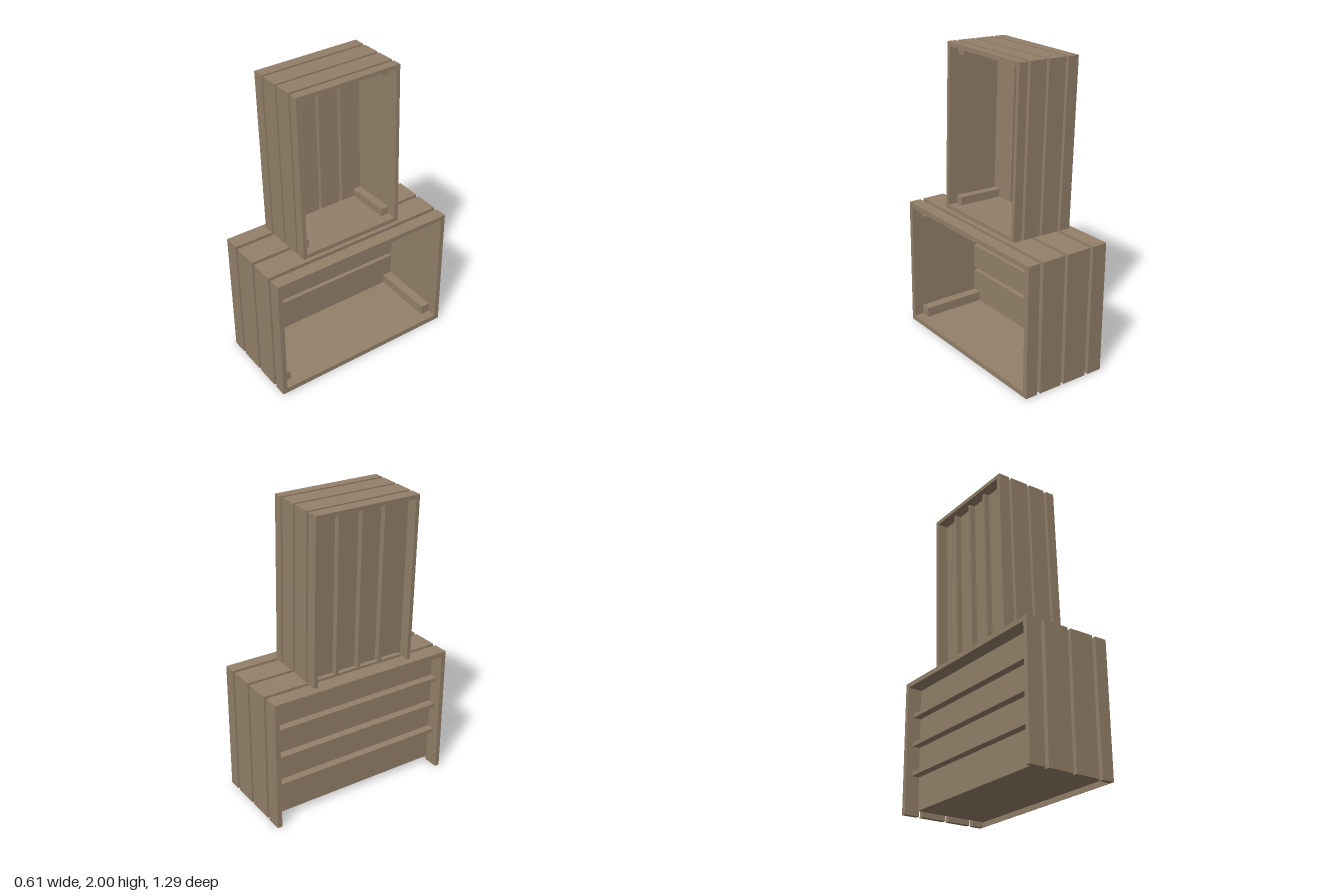
import * as THREE from 'three';

const wood = new THREE.MeshStandardMaterial({ color: 0x94806a, flatShading: true, side: THREE.DoubleSide });
const V = (x, y, z) => new THREE.Vector3(x, y, z);

function add(group, geometry, name) {
  const mesh = new THREE.Mesh(geometry, wood);
  mesh.name = name;
  group.add(mesh);
  return mesh;
}

// box given by its two opposite corners
function block(group, name, a, b) {
  const size = b.clone().sub(a), mid = a.clone().add(b).multiplyScalar(0.5);
  add(group, new THREE.BoxGeometry(size.x, size.y, size.z), name).position.copy(mid);
}

// open sheet: a polyline swept along one direction
function sheet(points, dir) {
  const pos = [];
  for (let i = 0; i < points.length - 1; i++) {
    const a = points[i], b = points[i + 1];
    const c = b.clone().add(dir), d = a.clone().add(dir);
    for (const p of [a, b, c, a, c, d]) pos.push(p.x, p.y, p.z);
  }
  const g = new THREE.BufferGeometry();
  g.setAttribute('position', new THREE.Float32BufferAttribute(pos, 3));
  g.computeVertexNormals();
  return g;
}

// Crate standing on y = 0, open towards +x.
// grooves: centres of the grooves in the back panel, measured along y or z
function makeCrate(name, { w, h, d, wall, batten, inset, grooves, gap, vertical }) {
  const crate = new THREE.Group();
  crate.name = name;
  const x0 = -w / 2, x1 = w / 2, z1 = d / 2;
  const t = wall - 0.002;             // slat thickness
  const back = x0 + inset;            // plane of the back panel
  const yLo = wall, yHi = h - wall, zi = z1 - wall;

  // four slats on the top and on both ends
  const slats = [[0, 0.175], [0.217, 0.505], [0.545, 0.818], [0.86, 1]];
  for (const [f0, f1] of slats) {
    const a = x0 + f0 * w, b = x0 + f1 * w;
    block(crate, 'topSlat', V(a, h - t, -z1 + t), V(b, h, z1 - t));
    block(crate, 'frontEndSlat', V(a, 0, z1 - t), V(b, h, z1));
    block(crate, 'backEndSlat', V(a, 0, -z1), V(b, h, -z1 + t));
  }

  // lip under the opening
  block(crate, 'bottomLip', V(x1 - 0.004, 0, -z1 + t), V(x1, yLo, z1 - t));

  // inner lining: floor, ends and ceiling
  const ring = [[yLo, -zi], [yLo, zi], [yHi, zi], [yHi, -zi], [yLo, -zi]];
  add(crate, sheet(ring.map(([y, z]) => V(back, y, z)), V(x1 - back - 0.001, 0, 0)), 'innerLining');

  // back panel with grooves pushed outwards
  const depth = inset * 0.55;
  const [lo, hi] = vertical ? [-zi, zi] : [yLo, yHi];
  const profile = [[back, lo]];
  for (const g of grooves) {
    const a = g - gap / 2, b = g + gap / 2;
    profile.push([back, a], [back - depth, a], [back - depth, b], [back, b]);
  }
  profile.push([back, hi]);
  const points = profile.map(([x, s]) => (vertical ? V(x, yHi, s) : V(x, s, zi)));
  const sweep = vertical ? V(0, yLo - yHi, 0) : V(0, 0, -2 * zi);
  const panel = sheet(vertical ? points.reverse() : points, sweep);
  add(crate, panel, 'backPanel');

  // battens in the four inner corners
  for (const y of [yLo, yHi - batten]) {
    for (const z of [-zi, zi - batten]) {
      block(crate, 'cornerBatten', V(back, y, z), V(x1 - 0.065, y + batten, z + batten));
    }
  }
  return crate;
}

export function createModel() {
  const model = new THREE.Group();
  model.name = 'stackedCrates';

  const lower = makeCrate('lowerCrate', {
    w: 0.6, h: 0.88, d: 1.29, wall: 0.034, batten: 0.066, inset: 0.095,
    grooves: [0.267, 0.464, 0.66], gap: 0.028, vertical: false,
  });
  lower.position.set(0.005, 0.003, 0);
  lower.rotation.z = 0.011;

  const upper = makeCrate('upperCrate', {
    w: 0.442, h: 1.1, d: 0.727, wall: 0.028, batten: 0.055, inset: 0.07,
    grooves: [-0.178, -0.015, 0.145], gap: 0.02, vertical: true,
  });
  upper.position.set(-0.044, 0.893, 0.018);
  upper.rotation.z = 0.035;

  model.add(lower, upper);
  return model;
}
